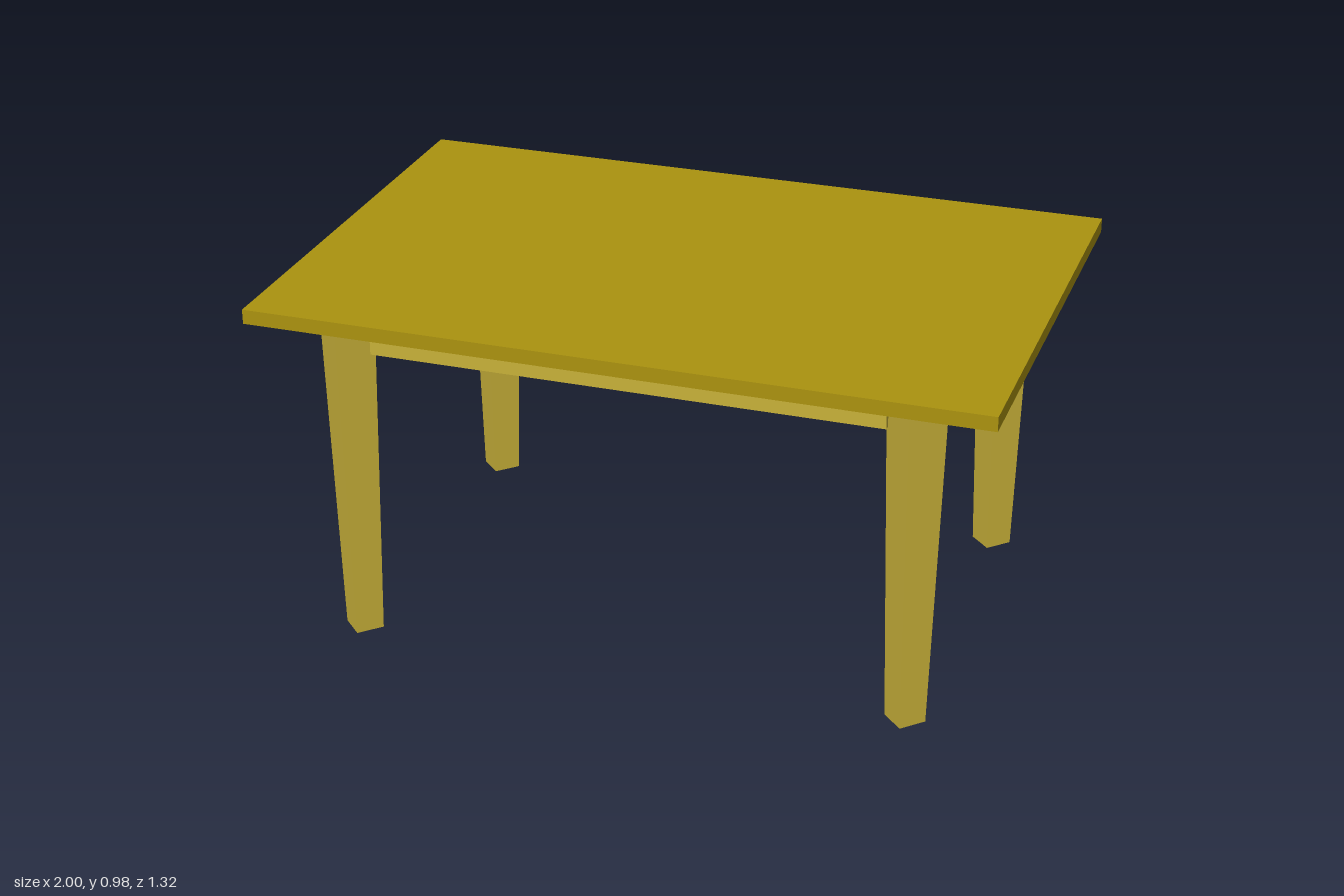
import * as THREE from 'three';

export function createModel() {
  const table = new THREE.Group();
  table.name = 'table';
  const topColour = new THREE.MeshStandardMaterial({ color: 0xab930f, flatShading: true });
  const frameColour = new THREE.MeshStandardMaterial({ color: 0xc8b139, flatShading: true });

  const legX = 0.77, legZ = 0.51, legHeight = 0.943;
  const topThickness = 0.04, apronHeight = 0.1, apronThickness = 0.045;

  const add = (name, geometry, material, x, y, z) => {
    const mesh = new THREE.Mesh(geometry, material);
    mesh.name = name;
    mesh.position.set(x, y, z);
    table.add(mesh);
  };

  // Flat rectangular top
  add('tabletop', new THREE.BoxGeometry(2, topThickness, 1.32), topColour, 0, legHeight + topThickness / 2, 0);

  // Four-sided tapered legs, corners pointing along x and z
  const leg = new THREE.CylinderGeometry(0.08, 0.055, legHeight, 4);
  for (const [side, sx] of [['Left', 1], ['Right', -1]]) {
    for (const [end, sz] of [['front', 1], ['back', -1]]) {
      add(`${end}${side}Leg`, leg, frameColour, sx * legX - 0.003, legHeight / 2, sz * legZ + 0.002);
    }
  }

  // Apron rails running between the legs
  const railY = legHeight - apronHeight / 2;
  const longRail = new THREE.BoxGeometry(2 * (legX - 0.072), apronHeight, apronThickness);
  const shortRail = new THREE.BoxGeometry(apronThickness, apronHeight, 2 * (legZ - 0.072));
  for (const s of [1, -1]) {
    add(s > 0 ? 'frontApron' : 'backApron', longRail, frameColour, -0.003, railY, s * legZ + 0.002);
    add(s > 0 ? 'leftApron' : 'rightApron', shortRail, frameColour, s * legX - 0.003, railY, 0.002);
  }
  return table;
}
